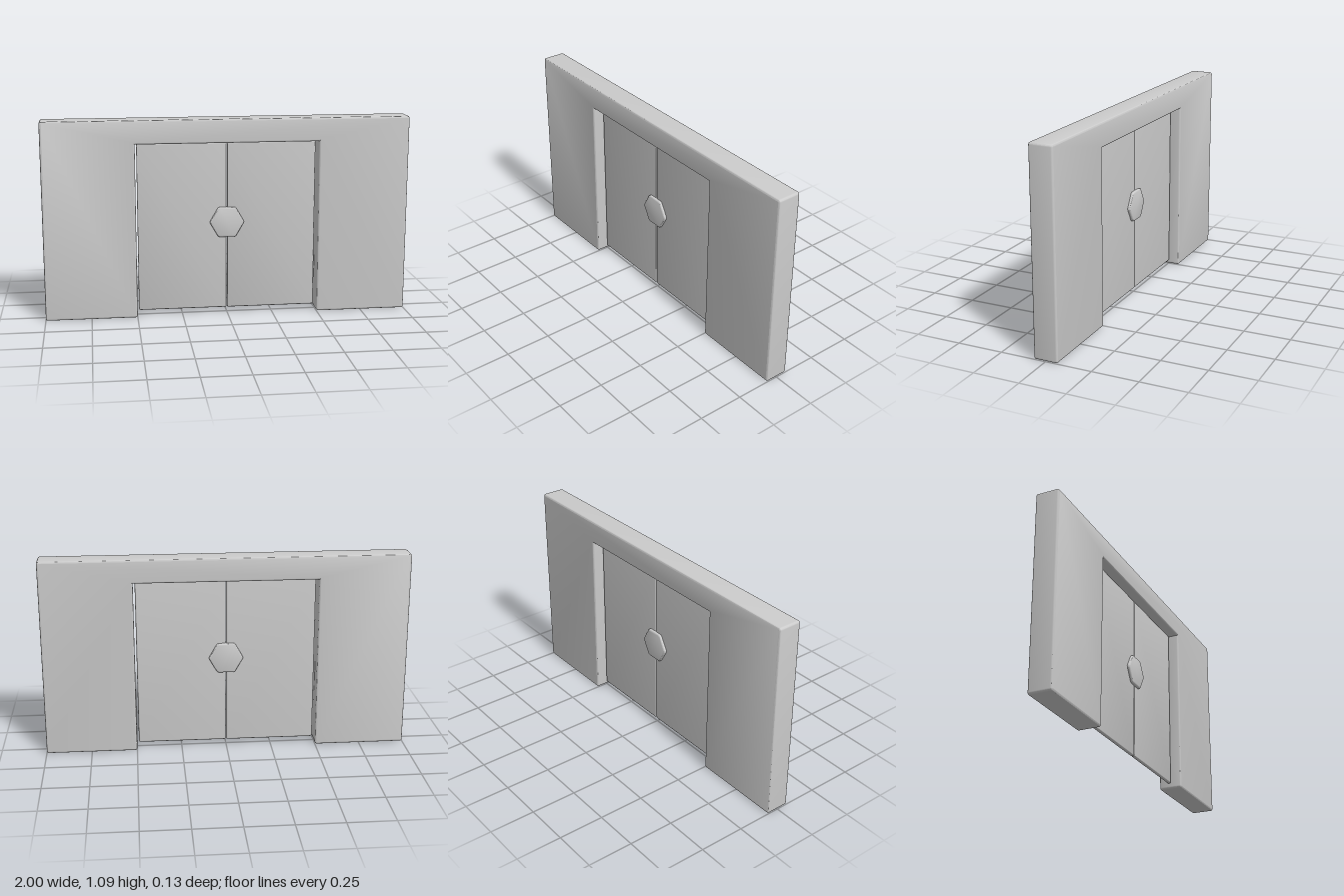
import * as THREE from 'three';
import { toCreasedNormals } from 'three/addons/utils/BufferGeometryUtils.js';

const material = new THREE.MeshStandardMaterial({ color: 0xcccccc });

// Outline from [x, y] corners, each softened by r (a third value overrides r)
function outline(corners, r) {
  const shape = new THREE.Shape();
  const n = corners.length;
  corners.forEach(([x, y, own = r], i) => {
    const p = new THREE.Vector2(x, y);
    const toward = ([qx, qy]) =>
      new THREE.Vector2(qx, qy).sub(p).setLength(own).add(p);
    const a = toward(corners[(i + n - 1) % n]);
    const b = toward(corners[(i + 1) % n]);
    if (i === 0) shape.moveTo(a.x, a.y);
    else shape.lineTo(a.x, a.y);
    if (own > 0) shape.quadraticCurveTo(x, y, b.x, b.y);
  });
  shape.closePath();
  return shape;
}

// Slab of the given total thickness centred on z = 0, with rounded edges
function slab(name, corners, thickness, bevel) {
  const geometry = new THREE.ExtrudeGeometry(outline(corners, bevel * 1.3), {
    depth: thickness - 2 * bevel,
    bevelThickness: bevel,
    bevelSize: bevel,
    bevelOffset: -bevel,
    bevelSegments: 4,
    curveSegments: 4,
  });
  geometry.translate(0, 0, bevel - thickness / 2);
  const mesh = new THREE.Mesh(toCreasedNormals(geometry, 0.6), material);
  mesh.name = name;
  return mesh;
}

export function createModel() {
  const group = new THREE.Group();
  group.name = 'gateWall';

  // Wall with the doorway cut from its lower edge
  group.add(slab('wall', [
    [-1, 0], [-0.5, 0], [-0.5, 0.96, 0], [0.5, 0.96, 0],
    [0.5, 0], [1, 0], [1, 1.09], [-1, 1.09],
  ], 0.13, 0.01));

  // Pair of thin door leaves, raised off the ground
  for (const [name, x] of [['rightDoor', -0.49], ['leftDoor', 0.001]]) {
    const w = 0.489;
    group.add(slab(name, [
      [x, 0.025], [x + w, 0.025], [x + w, 0.958], [x, 0.958],
    ], 0.02, 0.008));
  }

  // Hexagonal lock plate standing out on both faces
  const hexagon = [];
  for (let i = 0; i < 6; i++) {
    const a = (i * Math.PI) / 3;
    hexagon.push([0.096 * Math.cos(a), 0.515 + 0.096 * Math.sin(a)]);
  }
  group.add(slab('lockPlate', hexagon, 0.05, 0.008));

  return group;
}
